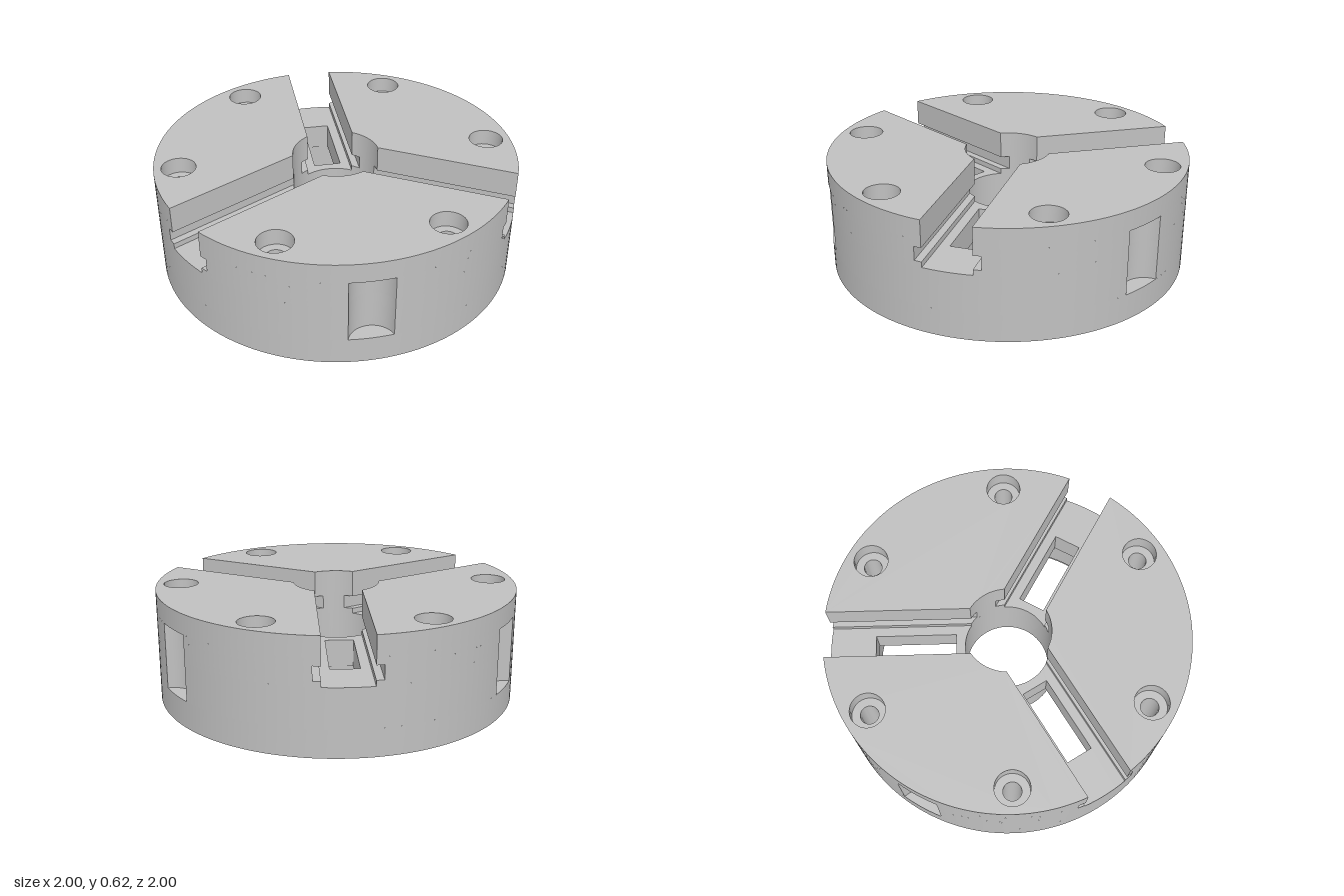
import * as THREE from 'three';
import { mergeGeometries, toCreasedNormals } from 'three/addons/utils/BufferGeometryUtils.js';

const R = 1, BORE = 0.24, HUB = 0.286, TAU = Math.PI * 2;
const SLOT = 0.13, TEE = 0.17;              // slot half-widths
const HOLE = 0.05, SINK = 0.095;            // bolt hole and counterbore radii
const Y = { lip: 0.05, ceiling: 0.215, floor: 0.365, tee0: 0.395, tee1: 0.47,
  pocket0: 0.15, pocket1: 0.51, sink: 0.53, top: 0.62 };
const THIRDS = [0, 1, 2].map(i => i * TAU / 3);

// ---- plan outlines (counter-clockwise point lists) ----
function arc(r, a0, a1, n, cx = 0, cy = 0) {
  return Array.from({ length: n + 1 }, (_, i) => {
    const a = a0 + (a1 - a0) * i / n;
    return new THREE.Vector2(cx + r * Math.cos(a), cy + r * Math.sin(a));
  });
}
const circle = (r, n = 96, cx = 0, cy = 0) => arc(r, 0, TAU, n, cx, cy).slice(0, -1);
const turn = (pts, a) => pts.map(p => p.clone().rotateAround(new THREE.Vector2(), a));
const reversed = pts => [...pts].reverse();

// Round-backed side pocket, cut by a small circle centred just outside the rim
const PC = 1.03, PR = 0.123;
const BETA = Math.acos((R * R + PC * PC - PR * PR) / (2 * R * PC));
const GAMMA = Math.atan2(Math.sin(BETA), Math.cos(BETA) - PC);
const scoop = m => arc(PR, m + TAU - GAMMA, m + GAMMA, 20, PC * Math.cos(m), PC * Math.sin(m));
const pocketLens = m => [...arc(R, m - BETA, m + BETA, 10), ...reversed(scoop(m)).slice(1, -1)];

// Rim between two angles, with a pocket at the middle
const pocketRim = (a0, a1) => {
  const m = (a0 + a1) / 2;
  return [...arc(R, a0, m - BETA, 24), ...scoop(m).slice(1, -1), ...arc(R, m + BETA, a1, 24)];
};

// One of three segments between slots of half-width w
function sector(a, w, pocket) {
  const o = Math.asin(w / R), i = Math.asin(w / BORE), end = a + TAU / 3;
  const rim = pocket ? pocketRim(a + o, end - o) : arc(R, a + o, end - o, 48);
  return [...rim, ...arc(BORE, end - i, a + i, 16)];
}

// Radial strip from bore to rim between offsets w0 and w1
function strip(w0, w1) {
  return [...arc(R, Math.asin(w0 / R), Math.asin(w1 / R), 8),
    ...arc(BORE, Math.asin(w1 / BORE), Math.asin(w0 / BORE), 12)];
}
const jawWindow = [[0.29, -0.077], [0.745, -0.077], [0.745, 0.077], [0.29, 0.077]]
  .map(p => new THREE.Vector2(...p));
const boltHole = (k, r) => {
  const a = Math.PI / 6 + k * Math.PI / 3;
  return circle(r, 32, 0.865 * Math.cos(a), 0.865 * Math.sin(a));
};
const boltHoles = r => [0, 1, 2, 3, 4, 5].map(k => boltHole(k, r));

// ---- surfaces ----
// Upright wall along a closed outline, facing outward
function wall(pts, y0, y1) {
  const pos = [];
  pts.forEach((a, i) => {
    const b = pts[(i + 1) % pts.length];
    pos.push(a.x, y0, -a.y, b.x, y0, -b.y, b.x, y1, -b.y,
      a.x, y0, -a.y, b.x, y1, -b.y, a.x, y1, -a.y);
  });
  const g = new THREE.BufferGeometry();
  g.setAttribute('position', new THREE.Float32BufferAttribute(pos, 3));
  return g;
}
const innerWall = (pts, y0, y1) => wall(reversed(pts), y0, y1);

// Level face; the plan is mirror-symmetric, so facing down only needs the opposite turn
function level(outline, holes, y, up) {
  const shape = new THREE.Shape(outline);
  shape.holes = holes.map(h => new THREE.Path(h));
  const g = new THREE.ShapeGeometry(shape).toNonIndexed();
  g.deleteAttribute('uv');
  g.deleteAttribute('normal');
  return g.rotateX(up ? -Math.PI / 2 : Math.PI / 2).translate(0, y, 0);
}

export function createModel() {
  const model = new THREE.Group();
  model.name = 'chuckBody';
  const steel = new THREE.MeshStandardMaterial({ color: 0xc0c0c0 });
  steel.name = 'steel grey';

  const add = (name, parts) => {
    const mesh = new THREE.Mesh(toCreasedNormals(mergeGeometries(parts), 0.5), steel);
    mesh.name = name;
    model.add(mesh);
  };

  // Lower drum: rim wall and underside
  const fullPocketRim = THIRDS.flatMap(a => pocketRim(a, a + TAU / 3).slice(0, -1));
  add('drum', [
    wall(circle(R, 144), 0, Y.pocket0),
    wall(fullPocketRim, Y.pocket0, Y.floor),
    level(circle(R, 144), [circle(0.773), ...boltHoles(HOLE)], 0, false),
  ]);

  // Stepped cavity below
  add('cavity', [
    innerWall(circle(0.773), 0, Y.lip),
    level(circle(0.773), [circle(0.755)], Y.lip, false),
    innerWall(circle(0.755), Y.lip, Y.ceiling),
    level(circle(0.755), [circle(HUB), ...THIRDS.map(a => turn(jawWindow, a))], Y.ceiling, false),
  ]);

  // Central hub and bore
  add('hub', [
    wall(circle(HUB), Y.lip, Y.ceiling),
    level(circle(HUB), [circle(BORE)], Y.lip, false),
    innerWall(circle(BORE), Y.lip, Y.floor),
  ]);

  // Three upper segments, undercut by the T-slots
  add('segments', THIRDS.flatMap((a, i) => [
    wall(sector(a, SLOT, true), Y.floor, Y.tee0),
    wall(sector(a, TEE, true), Y.tee0, Y.tee1),
    wall(sector(a, SLOT, true), Y.tee1, Y.pocket1),
    wall(sector(a, SLOT, false), Y.pocket1, Y.top),
    level(sector(a, SLOT, false), [boltHole(2 * i, SINK), boltHole(2 * i + 1, SINK)], Y.top, true),
  ]));

  // Slot floors, T-groove ledges and jaw windows
  add('jawSlots', THIRDS.flatMap(a => [
    level(turn([...strip(-SLOT, SLOT)], a), [turn(jawWindow, a)], Y.floor, true),
    innerWall(turn(jawWindow, a), Y.ceiling, Y.floor),
    ...[[SLOT, TEE], [-TEE, -SLOT]].flatMap(([w0, w1]) => [
      level(turn(strip(w0, w1), a), [], Y.tee0, true),
      level(turn(strip(w0, w1), a), [], Y.tee1, false),
    ]),
  ]));

  // Ends of the side pockets
  add('sidePockets', THIRDS.flatMap(a => [
    level(pocketLens(a + Math.PI / 3), [], Y.pocket0, true),
    level(pocketLens(a + Math.PI / 3), [], Y.pocket1, false),
  ]));

  // Counterbored bolt holes
  add('boltHoles', [0, 1, 2, 3, 4, 5].flatMap(k => [
    innerWall(boltHole(k, HOLE), 0, Y.sink),
    innerWall(boltHole(k, SINK), Y.sink, Y.top),
    level(boltHole(k, SINK), [boltHole(k, HOLE)], Y.sink, true),
  ]));
  return model;
}
